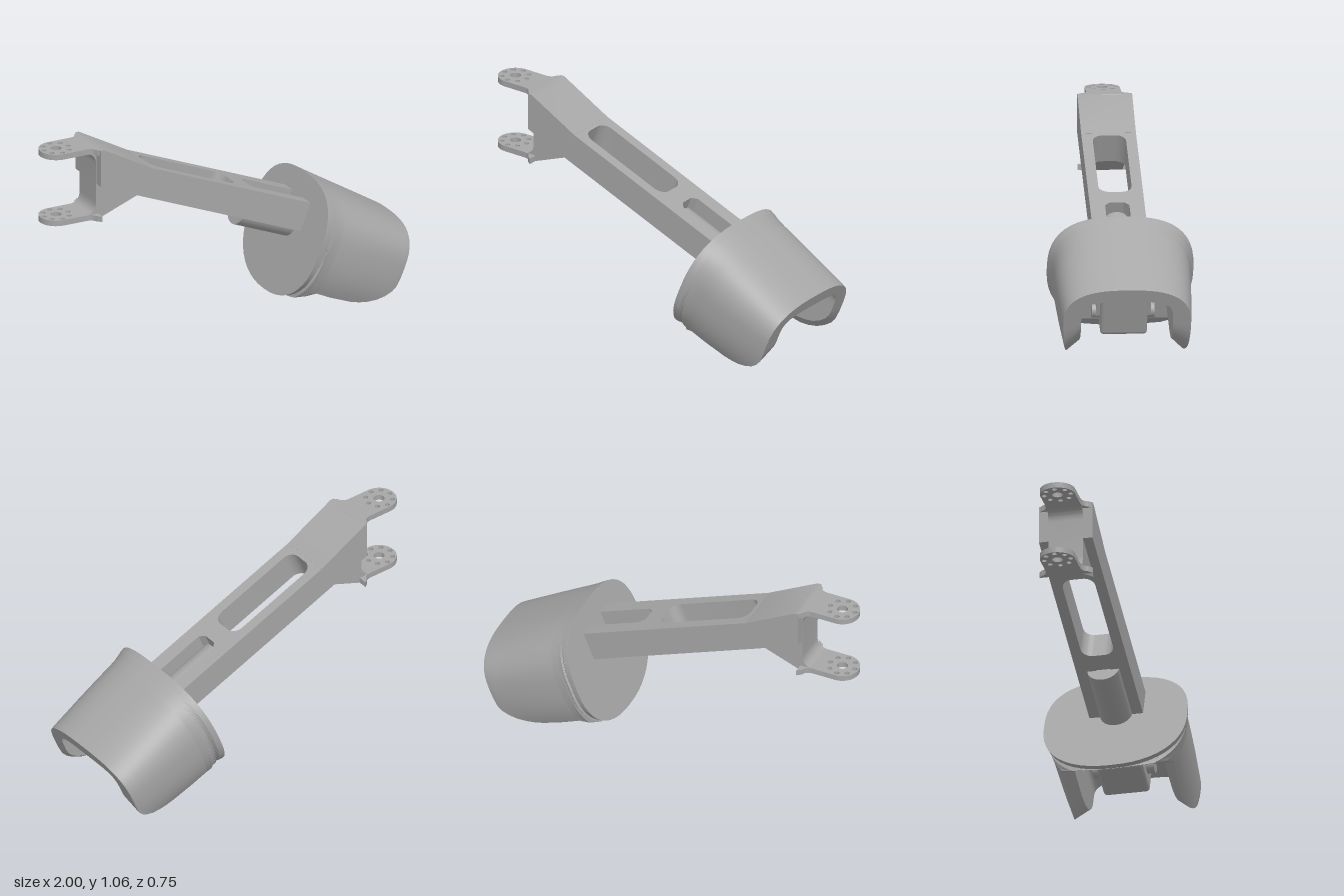
import * as THREE from 'three';
import { toCreasedNormals } from 'three/addons/utils/BufferGeometryUtils.js';
import { RoundedBoxGeometry } from 'three/addons/geometries/RoundedBoxGeometry.js';

const grey = new THREE.MeshStandardMaterial({ color: 0xa6a6a6 });
grey.name = 'grey';

function part(name, geometry, x = 0, y = 0, z = 0) {
  const mesh = new THREE.Mesh(geometry, grey);
  mesh.name = name;
  mesh.position.set(x, y, z);
  return mesh;
}

const polygon = (pts) => new THREE.Shape(pts.map(([x, y]) => new THREE.Vector2(x, y)));

function extrude(shape, depth) {
  const g = new THREE.ExtrudeGeometry(shape, { depth, bevelEnabled: false, curveSegments: 12 });
  return toCreasedNormals(g, 0.6);
}

// Profile in x/z, raised along y
const slab = (shape, height) => extrude(shape, height).rotateX(-Math.PI / 2);

function roundedSlot(x0, x1, w, r) {
  const p = new THREE.Path();
  p.absarc(x1 - r, w - r, r, Math.PI / 2, 0, true);
  p.absarc(x1 - r, -w + r, r, 0, -Math.PI / 2, true);
  p.absarc(x0 + r, -w + r, r, -Math.PI / 2, -Math.PI, true);
  p.absarc(x0 + r, w - r, r, Math.PI, Math.PI / 2, true);
  p.closePath();
  return p;
}

const circle = (x, y, r) => new THREE.Path().absarc(x, y, r, 0, Math.PI * 2, true);
const spow = (v, e) => Math.sign(v) * Math.pow(Math.abs(v), e);

// One section of the foot: outer arch, then back along the inner arch or the flat bottom
const N = 48;
function section([u, a, bottom, lower], hollow) {
  const k = (u - 0.245) / 0.552;
  const top = 0.801 - 0.096 * k;
  const c = 0.48 + 0.02 * Math.min(1, k * 4);
  const phi = Math.asin(Math.pow(Math.min(1, (c - bottom) / lower), 1.15));
  const outer = [], inner = [];
  for (let i = 0; i <= N; i++) {
    const t = -phi + (Math.PI + 2 * phi) * i / N;
    const s = Math.sin(t), n = s > 0 ? 2.7 : 2.3;
    outer.push([u, c + (s > 0 ? top - c : lower) * spow(s, 2 / n), a * spow(Math.cos(t), 2 / n)]);
  }
  for (let i = 0; i <= N; i++) {
    if (!hollow) {
      inner.push([u, bottom, outer[0][2] * (1 - 2 * i / N)]);
    } else if (i === 0 || i === N) {
      inner.push([u, Math.min(bottom + 0.065, 0.49), i ? -0.235 : 0.235]);
    } else {
      const t = Math.PI * (i - 1) / (N - 2);
      inner.push([u, 0.51 + 0.125 * spow(Math.sin(t), 0.5), 0.235 * spow(Math.cos(t), 0.5)]);
    }
  }
  return outer.concat(inner.reverse());
}

// Skin the sections and close both ends
function loft(stations, hollow) {
  const rings = stations.map((s) => section(s, hollow));
  const m = rings[0].length, last = (rings.length - 1) * m, index = [];
  for (let r = 0; r < rings.length - 1; r++) {
    for (let i = 0; i < m; i++) {
      const a = r * m + i, b = r * m + (i + 1) % m;
      index.push(a, a + m, b, b, a + m, b + m);
    }
  }
  for (let i = 0; i < N; i++) {
    const p = i, q = i + 1, P = m - 1 - i, Q = m - 2 - i;
    index.push(p, q, Q, p, Q, P);
    index.push(last + p, last + Q, last + q, last + p, last + P, last + Q);
  }
  const g = new THREE.BufferGeometry();
  g.setAttribute('position', new THREE.Float32BufferAttribute(rings.flat(2), 3));
  g.setIndex(index);
  return toCreasedNormals(g, 0.55);
}

export function createModel() {
  const model = new THREE.Group();
  model.name = 'leg';

  // Fork tabs with a ring of bolt holes
  const tab = new THREE.Shape();
  tab.absarc(-0.91, 0, 0.09, Math.PI / 2, Math.PI * 1.5, false);
  tab.lineTo(-0.78, -0.09);
  tab.quadraticCurveTo(-0.745, -0.095, -0.74, -0.12);
  tab.lineTo(-0.715, -0.14);
  tab.lineTo(-0.715, 0.14);
  tab.lineTo(-0.74, 0.12);
  tab.quadraticCurveTo(-0.745, 0.095, -0.78, 0.09);
  tab.closePath();
  tab.holes.push(circle(-0.91, 0, 0.028));
  for (let i = 0; i < 8; i++) {
    const t = i * Math.PI / 4;
    tab.holes.push(circle(-0.91 + 0.069 * Math.cos(t), 0.069 * Math.sin(t), 0.013));
  }
  model.add(part('upperTab', slab(tab, 0.03), 0, 1.03, 0));
  model.add(part('lowerTab', slab(tab, 0.03), 0, 0.666, 0));

  // Fork web with filleted corners and the gusset below the arm
  const web = new THREE.Shape();
  web.moveTo(-0.79, 0.667);
  web.lineTo(-0.71, 0.667);
  web.lineTo(-0.47, 0.76);
  web.lineTo(-0.6, 0.9);
  web.lineTo(-0.7, 1.058);
  web.lineTo(-0.79, 1.058);
  web.lineTo(-0.79, 1.032);
  web.quadraticCurveTo(-0.727, 1.032, -0.727, 0.965);
  web.lineTo(-0.727, 0.76);
  web.quadraticCurveTo(-0.727, 0.694, -0.79, 0.694);
  web.closePath();
  model.add(part('forkWeb', extrude(web, 0.18), 0, 0, -0.09));

  // Wedge joining the fork to the arm
  const head = polygon([[-0.725, 0.861], [-0.489, 0.764], [-0.431, 0.909], [-0.705, 1.06], [-0.725, 1.06]]);
  model.add(part('armHead', extrude(head, 0.28), 0, 0, -0.14));

  // Everything else lies along the sloping arm
  const leg = new THREE.Group();
  leg.name = 'slopingLeg';
  leg.rotation.z = -22 * Math.PI / 180;
  model.add(leg);

  // Arm with a long slot and an open notch at the foot end
  const arm = polygon([
    [-0.74, -0.14], [0.26, -0.14], [0.26, -0.062], [-0.055, -0.062], [-0.08, -0.035],
    [-0.08, 0.035], [-0.055, 0.062], [0.26, 0.062], [0.26, 0.14], [-0.74, 0.14],
  ]);
  arm.holes.push(roundedSlot(-0.718, -0.18, 0.085, 0.055));
  leg.add(part('arm', slab(arm, 0.156), 0, 0.525, 0));

  // Round housing lying in the notch
  const housing = new THREE.CylinderGeometry(0.085, 0.085, 0.33, 40).rotateZ(Math.PI / 2);
  leg.add(part('housing', housing, 0.089, 0.54, 0));

  // Foot: flared solid back, then the open shell (u, half width, bottom, lower radius)
  leg.add(part('footBack', loft([
    [0.245, 0.375, 0.158, 0.322], [0.275, 0.37, 0.163, 0.319], [0.295, 0.362, 0.195, 0.34],
    [0.32, 0.355, 0.23, 0.37], [0.36, 0.35, 0.262, 0.395],
  ], false)));
  leg.add(part('footShell', loft([
    [0.36, 0.35, 0.262, 0.395], [0.46, 0.347, 0.255, 0.4], [0.58, 0.342, 0.256, 0.4],
    [0.63, 0.339, 0.263, 0.4], [0.675, 0.336, 0.277, 0.4], [0.72, 0.333, 0.3, 0.4],
    [0.755, 0.331, 0.33, 0.4], [0.78, 0.329, 0.362, 0.4], [0.793, 0.327, 0.395, 0.4],
    [0.797, 0.326, 0.452, 0.4],
  ], true)));

  // Block inside the foot, hung on two struts with pivot pins
  leg.add(part('block', new RoundedBoxGeometry(0.2, 0.33, 0.24, 3, 0.02), 0.5, 0.475, 0));
  for (const side of [-1, 1]) {
    leg.add(part('strut', new THREE.BoxGeometry(0.09, 0.25, 0.02), 0.5, 0.52, side * 0.13));
    const pin = new THREE.CylinderGeometry(0.038, 0.038, 0.045, 24).rotateX(Math.PI / 2);
    leg.add(part('pivotPin', pin, 0.5, 0.4, side * 0.138));
  }
  return model;
}
